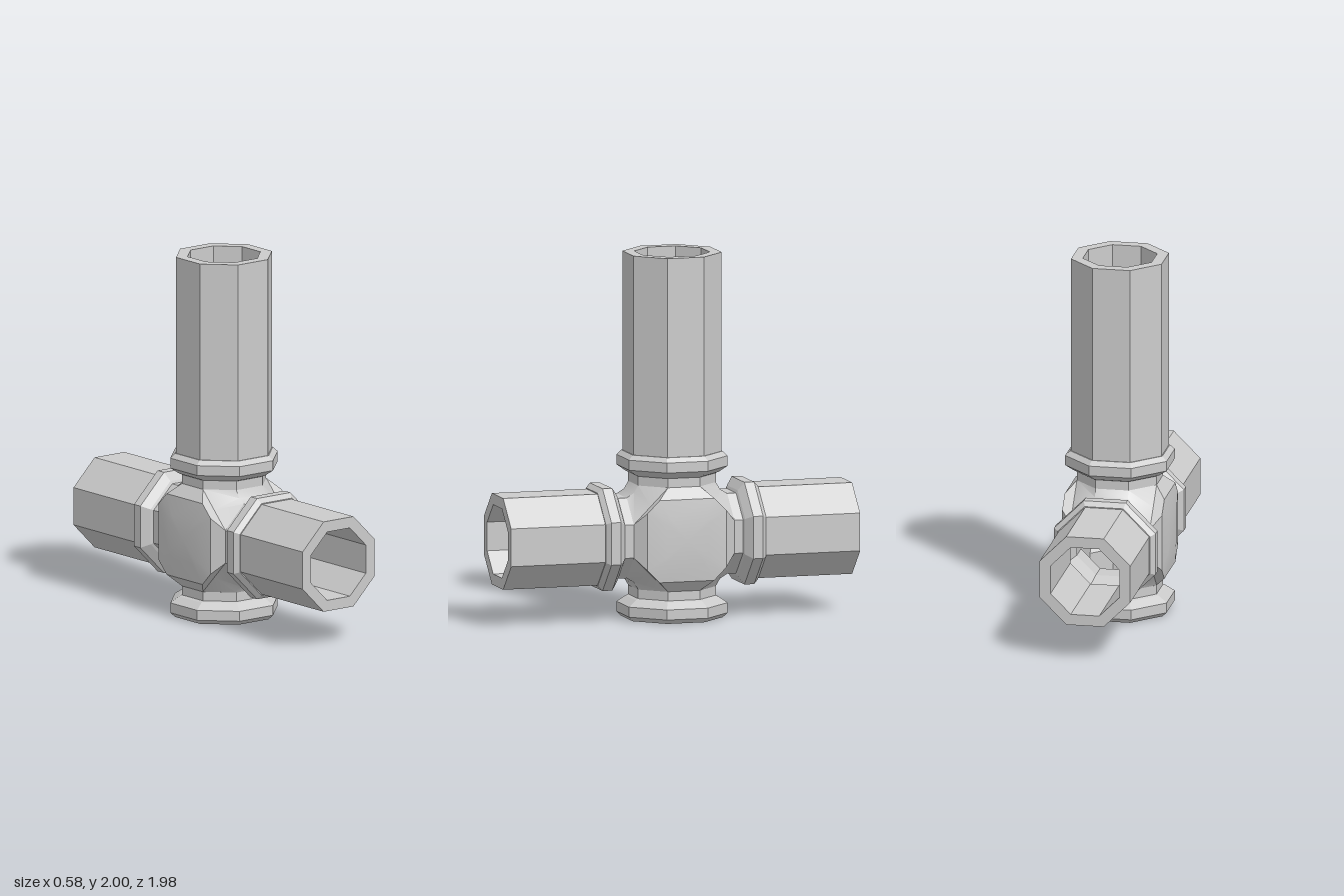
import * as THREE from 'three';
import { toCreasedNormals } from 'three/addons/utils/BufferGeometryUtils.js';

const CENTER_Y = 0.455;
const flat = new THREE.MeshStandardMaterial({ color: 0xcccccc, flatShading: true, side: THREE.DoubleSide });
const smooth = new THREE.MeshStandardMaterial({ color: 0xcccccc, side: THREE.DoubleSide });

// Eight-sided lathe; profile points are [distance to flat side, distance along axis]
function octagonLathe(profile) {
  const k = 1 / Math.cos(Math.PI / 8);
  const points = profile.map(([r, d]) => new THREE.Vector2(r * k, d));
  return new THREE.LatheGeometry(points, 8, Math.PI / 8);
}

// Loft along x through chamfered squares, left open where the four arms join.
// Each section: [x, half size, half length of the straight side, inward dip of the corner]
function crossLoft(half, openX, inward) {
  const sections = [...half.map(([x, ...rest]) => [-x, ...rest]), ...half.slice().reverse()];
  const rings = sections.map(([x, h, n, dip]) => {
    const m = (h + n) / 2 - dip;
    const ring = [];
    let corner = [[h, n], [m, m], [n, h]];
    for (let q = 0; q < 4; q++) {
      ring.push(...corner.map(([y, z]) => [x, y, z]));
      corner = corner.map(([y, z]) => [-z, y]);
    }
    return ring;
  });
  const pos = [];
  const tri = (a, b, c) => pos.push(...a, ...(inward ? c : b), ...(inward ? b : c));
  for (let s = 0; s < rings.length - 1; s++) {
    const open = Math.abs(sections[s][0]) <= openX && Math.abs(sections[s + 1][0]) <= openX;
    for (let i = 0; i < 12; i++) {
      if (open && i % 3 === 2) continue;
      const j = (i + 1) % 12;
      const [a, b, c, d] = [rings[s][i], rings[s][j], rings[s + 1][j], rings[s + 1][i]];
      tri(a, b, c);
      tri(a, c, d);
    }
  }
  // End caps
  const last = rings.length - 1;
  for (let i = 0; i < 12; i++) {
    const j = (i + 1) % 12;
    tri([sections[0][0], 0, 0], rings[0][j], rings[0][i]);
    tri([sections[last][0], 0, 0], rings[last][i], rings[last][j]);
  }
  const geometry = new THREE.BufferGeometry();
  geometry.setAttribute('position', new THREE.Float32BufferAttribute(pos, 3));
  geometry.computeVertexNormals();
  return geometry;
}

function addMesh(parent, name, geometry, material = flat) {
  const mesh = new THREE.Mesh(geometry, material);
  mesh.name = name;
  parent.add(mesh);
  return mesh;
}

export function createModel() {
  const model = new THREE.Group();
  model.name = 'pipeCrossFitting';

  // Hub with bulging side plates and filleted corners, plus its hollow inside
  const hub = new THREE.Group();
  hub.name = 'hub';
  hub.position.y = CENTER_Y;
  model.add(hub);
  const shell = crossLoft([
    [0.29, 0.12, 0.09, 0],
    [0.275, 0.225, 0.155, 0],
    [0.22, 0.285, 0.091, 0],
    [0.091, 0.285, 0.22, 0.008],
  ], 0.22, false);
  addMesh(hub, 'hubShell', toCreasedNormals(shell, 0.6), smooth);
  addMesh(hub, 'hubCavity', crossLoft([
    [0.18, 0.18, 0.075, 0],
    [0.075, 0.18, 0.18, 0],
  ], 0.18, true));

  // Neck with flared collar and tapered bore
  const collar = octagonLathe([
    [0.22, 0.285], [0.22, 0.335], [0.235, 0.342], [0.28, 0.375], [0.28, 0.43],
    [0.255, 0.455], [0.24, 0.455], [0.18, 0.3], [0.18, 0.18],
  ]);

  // Four arms; all but the lower one carry a hollow pipe
  const arms = [
    ['upper', 0, 1.545],
    ['lower', Math.PI, 0],
    ['front', Math.PI / 2, 0.99],
    ['back', -Math.PI / 2, 0.99],
  ];
  for (const [name, angle, end] of arms) {
    const arm = new THREE.Group();
    arm.name = name + 'Arm';
    arm.position.y = CENTER_Y;
    arm.rotation.x = angle;
    model.add(arm);
    addMesh(arm, name + 'Collar', collar);
    if (end) {
      addMesh(arm, name + 'Pipe', octagonLathe([
        [0.19, 0.43], [0.25, 0.43], [0.25, end], [0.19, end], [0.19, 0.43],
      ]));
    }
  }
  return model;
}
